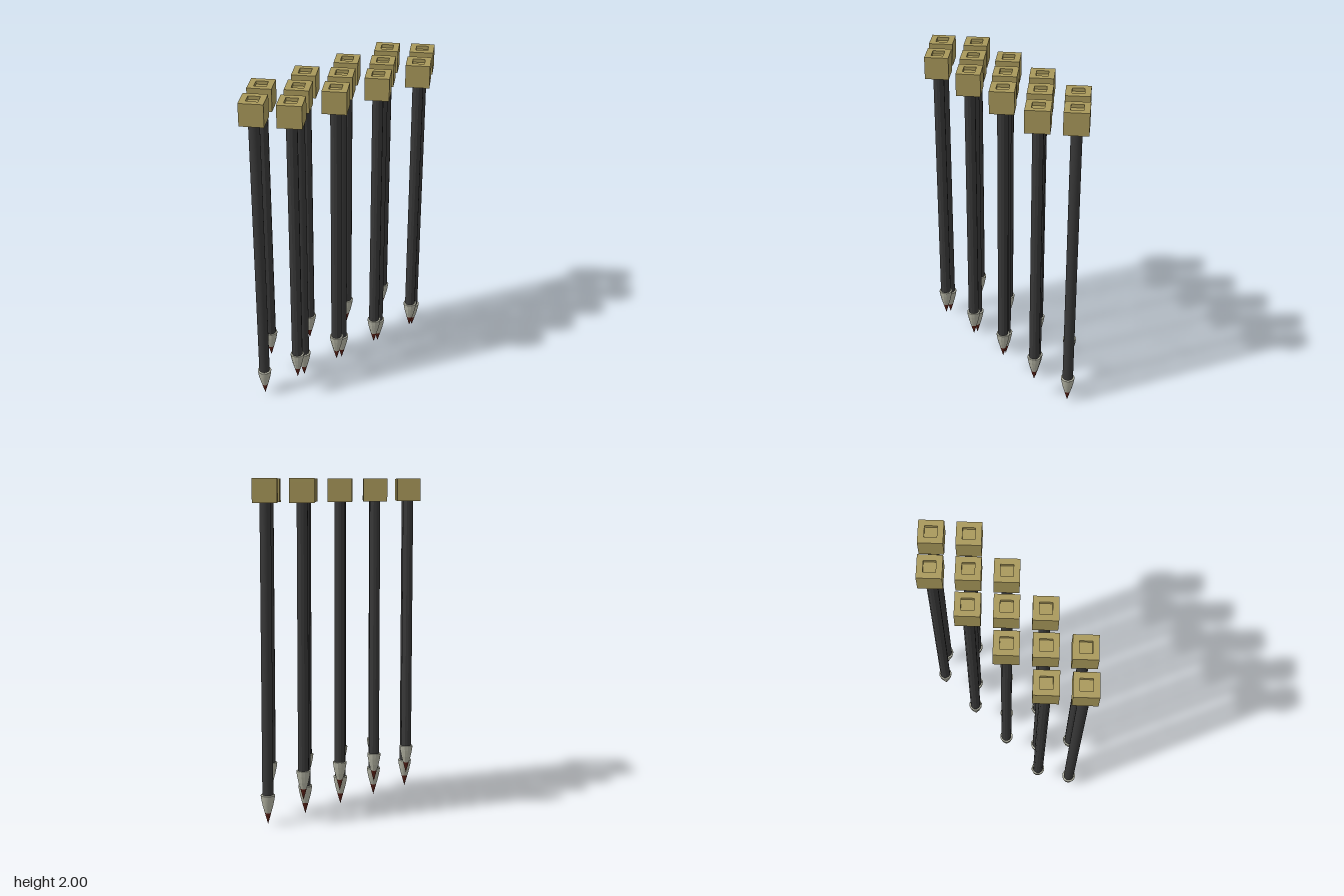
import * as THREE from 'three';

const mat = (name, color, extra = {}) => {
  const m = new THREE.MeshStandardMaterial({ color, ...extra });
  m.name = name;
  return m;
};

export function createModel() {
  const brass = mat('brass', 0xa8985a);
  const iron = mat('darkIron', 0x383838);
  const steel = mat('paleSteel', 0xb4b4a4);
  const blood = mat('driedRed', 0x5c2218);

  // Square cap with a shallow square recess in its top
  const top = 2, bottom = 1.865, half = 0.07, hole = 0.035, recess = 0.02;
  const square = (s, Type) => new Type([[-s, -s], [s, -s], [s, s], [-s, s]].map(p => new THREE.Vector2(...p)));
  const rim = square(half, THREE.Shape);
  rim.holes.push(square(hole, THREE.Path));
  const rimGeo = new THREE.ExtrudeGeometry(rim, { depth: recess, bevelEnabled: false });
  rimGeo.rotateX(-Math.PI / 2).translate(0, top - recess, 0);
  const baseHeight = top - recess - bottom;
  const baseGeo = new THREE.BoxGeometry(half * 2, baseHeight, half * 2);
  baseGeo.translate(0, bottom + baseHeight / 2, 0);

  const lathe = (pts, sides) => {
    const g = new THREE.LatheGeometry(pts.map(p => new THREE.Vector2(...p)), sides);
    if (sides > 12) return g;
    const flat = g.toNonIndexed();
    flat.computeVertexNormals();
    return flat;
  };

  // Shaft, spear head and stained point share one outline for each kind of spike
  const spikeParts = (sides, tip) => {
    const shoulder = tip + 0.175;
    const shaft = new THREE.CylinderGeometry(0.032, 0.032, bottom - shoulder + 0.01, sides, 1, true);
    shaft.translate(0, (bottom + shoulder - 0.01) / 2, 0);
    const shaftGeo = sides > 12 ? shaft : shaft.toNonIndexed();
    shaftGeo.computeVertexNormals();
    return {
      shaft: shaftGeo,
      head: lathe([[0.019, tip + 0.068], [0.03, tip + 0.107], [0.038, tip + 0.145], [0.042, tip + 0.172]], sides),
      collar: lathe([[0.042, tip + 0.172], [0.041, shoulder], [0.03, shoulder + 0.001]], sides),
      point: lathe([[0, tip], [0.019, tip + 0.068]], sides),
    };
  };
  const smooth = spikeParts(32, 0.005);
  const faceted = spikeParts(12, 0.147);

  const addSpike = (parent, parts, x, z) => {
    const spike = new THREE.Group();
    spike.name = 'spike';
    const add = (name, geo, material) => {
      const mesh = new THREE.Mesh(geo, material);
      mesh.name = name;
      spike.add(mesh);
      return mesh;
    };
    add('capRim', rimGeo, brass).rotation.y = Math.PI / 4;
    add('capBase', baseGeo, brass).rotation.y = Math.PI / 4;
    add('shaft', parts.shaft, iron);
    add('spearHead', parts.head, steel);
    add('headCollar', parts.collar, steel);
    add('stainedPoint', parts.point, blood);
    spike.position.set(x, 0, z);
    parent.add(spike);
  };

  // Long middle row of five between two shorter rows of four
  const model = new THREE.Group();
  model.name = 'spikeTrap';
  for (let i = -2; i <= 2; i++) addSpike(model, smooth, i * 0.3, 0);
  for (const z of [-0.143, 0.143])
    for (const x of [-0.45, -0.15, 0.15, 0.45]) addSpike(model, faceted, x, z);
  return model;
}
